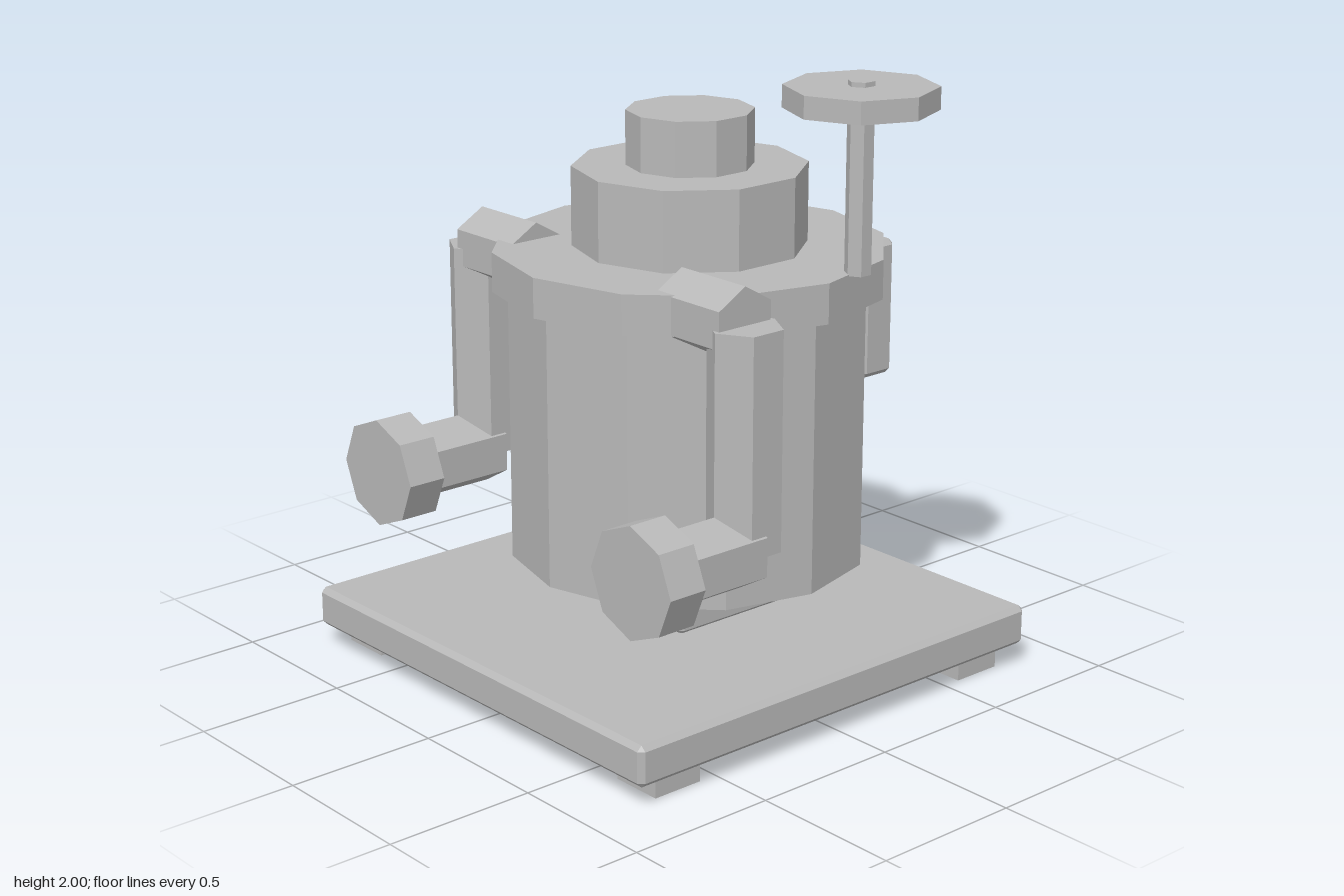
import * as THREE from 'three';
import { ConvexGeometry } from 'three/addons/geometries/ConvexGeometry.js';

export function createModel() {
  const model = new THREE.Group();
  model.name = 'tankMachine';
  const metal = new THREE.MeshStandardMaterial({ color: 0xb8b8b8, flatShading: true });
  metal.name = 'grey metal';

  const CX = -0.01; // middle of the machine
  const CZ = -0.088;

  function add(name, geometry, x, y, z, parent = model) {
    const mesh = new THREE.Mesh(geometry, metal);
    mesh.name = name;
    mesh.position.set(x, y, z);
    parent.add(mesh);
    return mesh;
  }

  // Upright prism between two heights
  function prism(name, radius, sides, y0, y1, x, z, parent) {
    const geometry = new THREE.CylinderGeometry(radius, radius, y1 - y0, sides);
    return add(name, geometry, x, (y0 + y1) / 2, z, parent);
  }

  // Box with a flat chamfer on every edge
  function chamferBox(w, h, d, c) {
    const points = [];
    for (const sx of [-1, 1]) for (const sy of [-1, 1]) for (const sz of [-1, 1]) {
      for (let axis = 0; axis < 3; axis++) {
        const p = [w / 2, h / 2, d / 2].map((half, i) => (i === axis ? half : half - c));
        points.push(new THREE.Vector3(sx * p[0], sy * p[1], sz * p[2]));
      }
    }
    return new ConvexGeometry(points);
  }

  // Base plate, feet and pedestal
  add('basePlate', chamferBox(1.66, 0.135, 1.66, 0.017), CX, 0.1375, 0);
  for (const sx of [-1, 1]) for (const sz of [-1, 1]) {
    add('foot', new THREE.BoxGeometry(0.175, 0.075, 0.175), CX + sx * 0.7, 0.0375, sz * 0.65);
  }
  add('pedestal', chamferBox(0.55, 0.19, 0.55, 0.015), CX, 0.295, CZ + 0.003);

  // Tank with its stepped top
  prism('tank', 0.588, 12, 0.37, 1.28, CX, CZ + 0.003);
  prism('lid', 0.64, 12, 1.27, 1.4, CX, CZ);
  prism('neck', 0.38, 10, 1.4, 1.66, CX, CZ);
  prism('cap', 0.206, 10, 1.66, 1.838, CX, CZ);

  // Valve wheel on its stem
  prism('valveStem', 0.043, 6, 1.395, 2.0, 0.595, -0.243);
  prism('valveWheel', 0.24, 8, 1.913, 1.985, 0.595, -0.243);

  // Control box on the back
  add('backBox', chamferBox(0.585, 0.46, 0.14, 0.018), -0.0125, 1.13, -0.664);

  // Spout on each side: pipe out of the lid, down, then forward to a nozzle
  for (const side of [-1, 1]) {
    const spout = new THREE.Group();
    spout.name = side > 0 ? 'leftSpout' : 'rightSpout';
    model.add(spout);
    const x = CX + side * 0.64;
    const z = 0.258;
    const R = 0.12;
    const outlet = new THREE.CylinderGeometry(R, R, 0.285, 6).rotateY(Math.PI / 2).rotateZ(Math.PI / 2);
    add('outletPipe', outlet, x - side * 0.1425, 1.335, z, spout);
    prism('downPipe', R, 6, 0.63, 1.333, x, z, spout);
    const forward = new THREE.CylinderGeometry(0.127, 0.127, 0.33, 6).rotateX(Math.PI / 2);
    add('forwardPipe', forward, x, 0.63, 0.425, spout);
    const nozzle = new THREE.CylinderGeometry(0.182, 0.182, 0.135, 8).rotateX(Math.PI / 2);
    add('nozzle', nozzle, x, 0.63, 0.64, spout);
  }
  return model;
}
